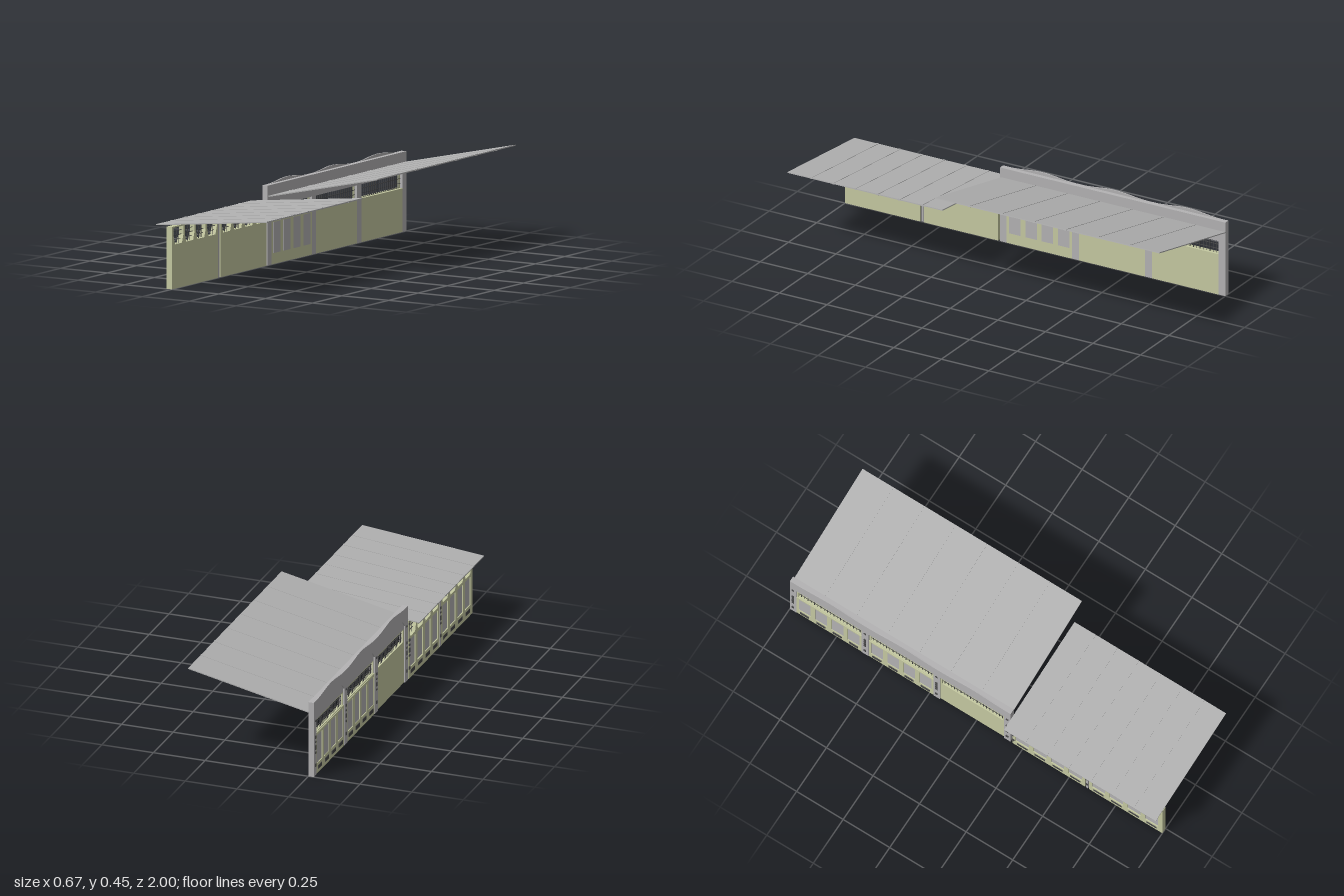
import * as THREE from 'three';

const mat = (name, color, side = THREE.FrontSide) => {
  const m = new THREE.MeshStandardMaterial({ color, side });
  m.name = name;
  return m;
};

export function createModel() {
  const root = new THREE.Group();
  root.name = 'platformBuilding';
  const green = mat('paleGreen', 0xc6caa2);
  const grey = mat('concreteGrey', 0xb4b3b4);
  const roofGrey = mat('roofGrey', 0xb2b2b2);
  const dark = mat('darkMetal', 0x4a4a4a);

  const IN = -0.25, MID = -0.271, OUT = -0.277;

  // Box given by its limits on each axis
  const box = (name, m, x0, x1, y0, y1, z0, z1, parent = root) => {
    const mesh = new THREE.Mesh(new THREE.BoxGeometry(x1 - x0, y1 - y0, z1 - z0), m);
    mesh.position.set((x0 + x1) / 2, (y0 + y1) / 2, (z0 + z1) / 2);
    mesh.name = name;
    parent.add(mesh);
    return mesh;
  };

  // Wall plate drawn in (z, y) and extruded outwards between two x planes
  const plate = (name, m, pts, holes, xIn, xOut) => {
    const toV = (list) => list.map(([z, y]) => new THREE.Vector2(z, y));
    const shape = new THREE.Shape(toV(pts));
    holes.forEach((h) => shape.holes.push(new THREE.Path(toV(h))));
    const geo = new THREE.ExtrudeGeometry(shape, { depth: xIn - xOut, bevelEnabled: false });
    const mesh = new THREE.Mesh(geo, m);
    mesh.rotation.y = -Math.PI / 2;
    mesh.position.x = xIn;
    mesh.name = name;
    root.add(mesh);
  };
  const rect = (z0, z1, y0, y1) => [[z0, y0], [z1, y0], [z1, y1], [z0, y1]];

  // Four equal panel spans inside a bay
  const spans = (z0, z1, gap) => {
    const step = (z1 - z0) / 4;
    return [0, 1, 2, 3].map((i) => [z0 + i * step + gap, z0 + (i + 1) * step - gap]);
  };

  // Thin glazing bars in a window opening
  const bars = (z0, z1, y0, y1, count, rows) => {
    const g = new THREE.Group();
    g.name = 'windowBars';
    root.add(g);
    const x = -0.262, t = 0.0012;
    for (let i = 1; i < count; i++) {
      const z = z0 + ((z1 - z0) * i) / count;
      box('verticalBar', dark, x - t, x + t, y0, y1, z - t, z + t, g);
    }
    for (let i = 1; i <= rows; i++) {
      const y = y0 + ((y1 - y0) * i) / (rows + 1);
      box('horizontalBar', dark, x - t, x + t, y - t, y + t, z0, z1, g);
    }
  };

  // Small metal fittings up a column
  const fittings = (z) => {
    [[0.045, 0.06], [0.11, 0.119], [0.13, 0.151], [0.163, 0.171], [0.184, 0.197], [0.267, 0.275]]
      .forEach(([a, b]) => box('fitting', dark, OUT - 0.004, OUT, a, b, z - 0.006, z + 0.006));
  };

  // Grey door panels and low grilles set into an outer frame
  const doorPanels = (z0, z1, x) => {
    spans(z0, z1, 0.012).forEach(([a, b]) => {
      box('doorPanel', grey, x - 0.001, x + 0.001, 0.05, 0.188, a, b);
      box('grille', dark, x - 0.007, x + 0.001, 0.018, 0.036, a + 0.008, b - 0.008);
    });
  };
  const panelHoles = (z0, z1) => spans(z0, z1, 0.012).map(([a, b]) => rect(a, b, 0.05, 0.188));

  // ---- Tall hall ----
  const bays = [[-0.965, -0.615], [-0.577, -0.23], [-0.194, 0.15]];
  const columns = [[-1, -0.965], [-0.615, -0.577], [-0.23, -0.194], [0.15, 0.185]];
  columns.forEach(([a, b]) => {
    box('column', grey, MID, IN, 0, 0.265, a, b);
    fittings((a + b) / 2);
  });
  box('upperWall', grey, MID, IN, 0.265, 0.365, -1, 0.185);

  bays.forEach(([a, b], i) => {
    box('bayWall', green, MID, IN, 0, 0.2, a, b);
    bars(a, b, 0.2, 0.265, 20, 2);
    // Slim green window frame
    plate('windowFrame', green, rect(a, b, 0.2, 0.265),
      [rect(a + 0.008, b - 0.008, 0.204, 0.261)], -0.264, MID);
    if (i < 2) {
      plate('doorFrame', green, rect(a, b, 0, 0.2), panelHoles(a, b), MID, MID - 0.004);
      doorPanels(a, b, MID);
    } else {
      // Inner face panels
      spans(a, b, 0.013).forEach(([p, q]) =>
        box('innerPanel', grey, IN - 0.001, IN + 0.001, 0.05, 0.192, p, q));
    }
  });

  // Arched facade: one outline with legs, arches and a waved top
  const facade = [];
  const N = 14;
  facade.push([-1, 0]);
  bays.forEach(([a, b]) => {
    facade.push([a, 0]);
    for (let k = 0; k <= N; k++) {
      const t = k / N;
      facade.push([a + (b - a) * t, 0.28 + 0.052 * Math.sqrt(Math.max(0, 1 - (2 * t - 1) ** 2))]);
    }
    facade.push([b, 0]);
  });
  facade.push([0.185, 0], [0.185, 0.365]);
  [...bays].reverse().forEach(([a, b]) => {
    for (let k = 0; k <= N; k++) {
      const t = k / N;
      facade.push([b + (a - b) * t, 0.365 + 0.0145 * Math.sin(Math.PI * t) ** 2]);
    }
  });
  facade.push([-1, 0.365]);
  plate('archedFacade', grey, facade, [], MID, OUT);

  // ---- Low wing ----
  const wing = [[0.2, 0.58], [0.61, 0.99]];
  const wingEnds = [[0.195, 0.585], [0.605, 1]];
  wing.forEach(([a, b], i) => {
    const [e0, e1] = wingEnds[i];
    const windows = spans(a, b, 0.006).map(([p, q]) =>
      [[p + 0.012, 0.202], [q - 0.012, 0.202], [q, 0.24], [q, 0.279], [p, 0.279], [p, 0.24]]);
    plate('wingWall', green, rect(e0, e1, 0, 0.285), windows, IN, MID);
    plate('wingFrame', green, rect(e0, e1, 0, 0.285), [...windows, ...panelHoles(a, b)], MID, OUT);
    doorPanels(a, b, MID);
    spans(a, b, 0.006).forEach(([p, q]) => bars(p, q, 0.202, 0.279, 4, 3));
  });
  // Recessed steel post between the two wing bays
  box('post', grey, OUT, IN - 0.004, 0, 0.29, 0.589, 0.601);
  box('postWeb', dark, -0.268, -0.258, 0, 0.285, 0.585, 0.605);
  fittings(0.595);
  fittings(0.2);

  // ---- Sloping roofs with raised seams ----
  const roof = (name, x0, y0, x1, y1, z0, z1, seams) => {
    const g = new THREE.Group();
    g.name = name;
    const len = Math.hypot(x1 - x0, y1 - y0);
    g.position.set((x0 + x1) / 2, (y0 + y1) / 2, 0);
    g.rotation.z = Math.atan2(y1 - y0, x1 - x0);
    box('roofSheet', roofGrey, -len / 2, len / 2, -0.0025, 0.0025, z0, z1, g);
    seams.forEach((z) =>
      box('roofSeam', roofGrey, -len / 2, len / 2, -0.0038, 0.0042, z - 0.006, z + 0.006, g));
    root.add(g);
  };
  roof('tallRoof', -0.252, 0.315, 0.332, 0.441, -1, 0.178,
    [-0.84, -0.672, -0.505, -0.336, -0.167, 0.001]);
  roof('wingRoof', -0.333, 0.289, 0.257, 0.349, 0.186, 1,
    [0.295, 0.413, 0.528, 0.645, 0.762, 0.878]);

  return root;
}
